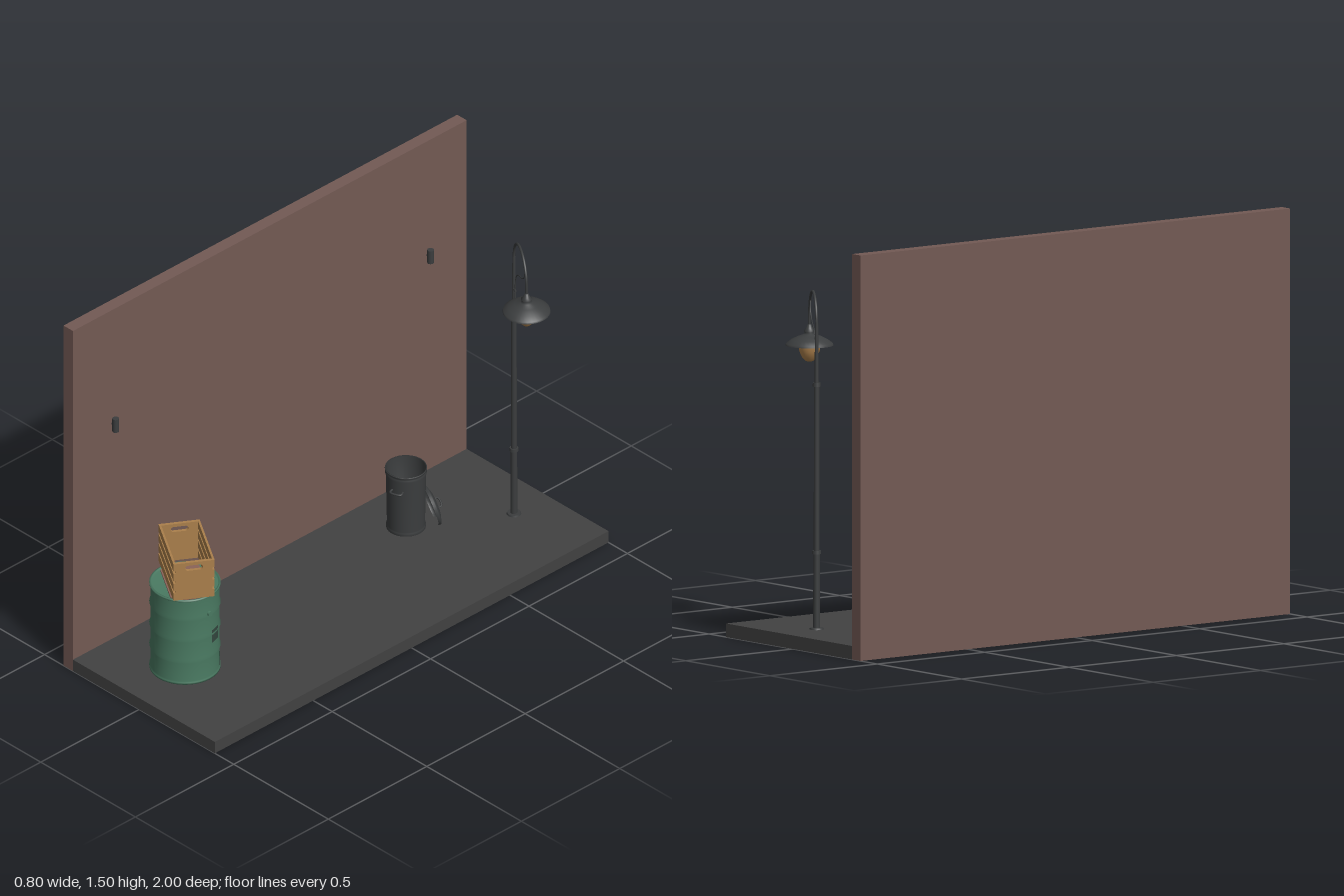
import * as THREE from 'three';

const mat = (name, color, side = THREE.FrontSide) => {
  const m = new THREE.MeshStandardMaterial({ color });
  m.name = name;
  m.side = side;
  return m;
};

export function createModel() {
  const M = {
    brick: mat('brickBrown', 0x735a54),
    asphalt: mat('asphaltGrey', 0x424242),
    metal: mat('darkMetal', 0x3b3d3e, THREE.DoubleSide),
    green: mat('barrelGreen', 0x4a7a62),
    rust: mat('rustPink', 0x8a6358),
    grime: mat('grimeGreen', 0x34473f, THREE.DoubleSide),
    wood: mat('crateWood', 0xab804c),
    glow: mat('lampGlass', 0xb0834e, THREE.DoubleSide),
  };
  const root = new THREE.Group();
  root.name = 'alleyCorner';

  const add = (parent, name, geo, material, x = 0, y = 0, z = 0) => {
    const mesh = new THREE.Mesh(geo, material);
    mesh.name = name;
    mesh.position.set(x, y, z);
    parent.add(mesh);
    return mesh;
  };
  const group = (name, x, y, z, ry = 0) => {
    const g = new THREE.Group();
    g.name = name;
    g.position.set(x, y, z);
    g.rotation.y = ry;
    root.add(g);
    return g;
  };
  const box = (w, h, d) => new THREE.BoxGeometry(w, h, d);
  const cyl = (r1, r2, h, n = 24) => new THREE.CylinderGeometry(r1, r2, h, n);
  const lathe = (pts, n = 32) => new THREE.LatheGeometry(pts.map(p => new THREE.Vector2(...p)), n);
  const tube = (pts, r, n = 32) =>
    new THREE.TubeGeometry(new THREE.CatmullRomCurve3(pts.map(p => new THREE.Vector3(...p))), n, r, 8);

  // Ground slab and wall
  add(root, 'ground', box(0.75, 0.05, 2), M.asphalt, 0.025, 0.025, 0);
  add(root, 'wall', box(0.05, 1.5, 2), M.brick, -0.375, 0.75, 0);

  // Small fixtures on the wall
  for (const z of [-0.8, 0.8]) {
    const f = group('wallFixture', -0.35, 1, z);
    add(f, 'fixtureBody', cyl(0.0125, 0.0125, 0.056, 16), M.metal, 0.0175, 0.002, 0);
    add(f, 'fixtureArm', box(0.012, 0.008, 0.008), M.metal, 0.004, 0, 0);
  }

  // Street lamp; its local x axis points from the pole to the shade
  const reach = 0.2;
  const lamp = group('streetLamp', 0.076, 0, -0.831, -Math.atan2(0.102, 0.173));
  add(lamp, 'poleFoot', cyl(0.025, 0.027, 0.006), M.metal, 0, 0.053, 0);
  add(lamp, 'lowerPole', cyl(0.012, 0.013, 0.285, 16), M.metal, 0, 0.1925, 0);
  add(lamp, 'upperPole', cyl(0.01, 0.011, 0.625, 16), M.metal, 0, 0.645, 0);
  add(lamp, 'lowerCollar', cyl(0.016, 0.017, 0.012), M.metal, 0, 0.335, 0);
  add(lamp, 'upperCollar', cyl(0.014, 0.015, 0.014), M.metal, 0, 0.955, 0);
  add(lamp, 'poleTip', cyl(0.006, 0.008, 0.23, 16), M.metal, 0, 1.07, 0);
  const arc = [];
  for (let i = 0; i <= 16; i++) {
    const a = Math.PI * (1 - i / 16);
    arc.push([reach / 2 + reach / 2 * Math.cos(a), 1.185 + 0.101 * Math.sin(a), 0]);
  }
  add(lamp, 'curvedArm', tube([[0, 1.15, 0], ...arc, [reach, 1.14, 0]], 0.005, 48), M.metal);
  add(lamp, 'cable', tube([[0.18, 1.245, 0], [0.165, 1.2, 0], [0.13, 1.172, 0], [0.075, 1.15, 0],
    [0.035, 1.115, 0], [0.02, 1.06, 0], [0.019, 1.01, 0]], 0.0022, 40), M.metal);
  add(lamp, 'cableClip', box(0.026, 0.008, 0.007), M.metal, 0.01, 1.045, 0);
  add(lamp, 'shade', lathe([[0.088, 1.073], [0.086, 1.08], [0.068, 1.094], [0.044, 1.106], [0.022, 1.114],
    [0.017, 1.121], [0.021, 1.127], [0.013, 1.136], [0.007, 1.15], [0, 1.152]]), M.metal, reach);
  add(lamp, 'bulb', lathe([[0, 1.012], [0.014, 1.015], [0.027, 1.028], [0.037, 1.05], [0.042, 1.075],
    [0.04, 1.085]]), M.glow, reach);

  // Ribbed barrel
  const barrel = group('barrel', -0.041, 0, 0.728);
  const profile = [[0, 0.05], [0.131, 0.05], [0.131, 0.058], [0.127, 0.062]];
  for (const y of [0.147, 0.24, 0.333]) {
    profile.push([0.127, y - 0.007], [0.131, y], [0.127, y + 0.007]);
  }
  profile.push([0.127, 0.41], [0.131, 0.413], [0.131, 0.42], [0.124, 0.42], [0.122, 0.412], [0, 0.412]);
  add(barrel, 'barrelBody', lathe(profile, 40), M.green);
  const patch = (angle, y, w, h) => add(barrel, 'grimePatch',
    new THREE.CylinderGeometry(0.1285, 0.1285, h, 8, 1, true, angle - w / 2, w), M.grime, 0, y, 0);
  patch(1.86, 0.23, 0.35, 0.055);
  patch(2.4, 0.08, 0.4, 0.04);
  add(barrel, 'bung', cyl(0.01, 0.01, 0.012, 12), M.green, 0.13, 0.34, 0).rotation.z = Math.PI / 2;

  // Rusty strip across the barrel top, aligned with the crate
  const crateTurn = -0.562;
  const strip = new THREE.Shape();
  const half = Math.asin(0.073 / 0.118);
  strip.absarc(0, 0, 0.118, -half, half, false);
  strip.absarc(0, 0, 0.118, Math.PI - half, Math.PI + half, false);
  const lid = add(barrel, 'rustyTop',
    new THREE.ExtrudeGeometry(strip, { depth: 0.006, bevelEnabled: false }), M.rust, 0, 0.414, 0);
  lid.rotation.set(-Math.PI / 2, 0, crateTurn);

  // Slatted crate without a floor, resting on the barrel
  const crate = group('crate', -0.045, 0.425, 0.716, crateTurn);
  const L = 0.272, W = 0.154, H = 0.16;
  for (const s of [-1, 1]) {
    for (let i = 0; i < 4; i++) {
      add(crate, 'sideSlat', box(L, 0.032, 0.008), M.wood, 0, 0.016 + i * 0.0427, s * (W / 2 - 0.004));
    }
  }
  const panel = new THREE.Shape();
  const pw = W / 2 - 0.008;
  panel.moveTo(-pw, 0).lineTo(pw, 0).lineTo(pw, H).lineTo(-pw, H).closePath();
  const grip = new THREE.Path();
  grip.absarc(0.022, 0.136, 0.011, -Math.PI / 2, Math.PI / 2, false);
  grip.absarc(-0.022, 0.136, 0.011, Math.PI / 2, Math.PI * 1.5, false);
  panel.holes.push(grip);
  const endGeo = new THREE.ExtrudeGeometry(panel, { depth: 0.012, bevelEnabled: false });
  endGeo.rotateY(Math.PI / 2);
  add(crate, 'endPanel', endGeo, M.wood, L / 2 - 0.012, 0, 0);
  add(crate, 'endPanel', endGeo, M.wood, -L / 2, 0, 0);

  // Square canister beside the barrel
  const can = group('canister', -0.213, 0.05, 0.557, -0.9);
  add(can, 'canisterBody', box(0.06, 0.12, 0.06), M.metal, 0, 0.06, 0);
  add(can, 'canisterTop', box(0.052, 0.005, 0.052), M.metal, 0, 0.1215, 0);
  add(can, 'canisterCap', cyl(0.009, 0.009, 0.008, 16), M.metal, 0.012, 0.126, 0.01);
  add(can, 'canisterPatch', box(0.045, 0.026, 0.002), M.rust, 0, 0.022, 0.0302);

  // Open dustbin with two handles
  const bin = group('dustbin', -0.14, 0.05, -0.49, 0.35);
  add(bin, 'binBody', lathe([[0, 0.003], [0.07, 0.003], [0.07, 0], [0.073, 0], [0.073, 0.012], [0.07, 0.015],
    [0.074, 0.235], [0.077, 0.24], [0.074, 0.245], [0.074, 0.252], [0.078, 0.255], [0.077, 0.26],
    [0.073, 0.258], [0.069, 0.02], [0, 0.012]], 32), M.metal);
  for (const s of [-1, 1]) {
    add(bin, 'binHandle', tube([[-0.022, 0.195, s * 0.07], [-0.021, 0.193, s * 0.088],
      [0.021, 0.193, s * 0.088], [0.022, 0.195, s * 0.07]], 0.004, 20), M.metal);
  }

  // Lid leaning against the dustbin
  const binLid = group('dustbinLid', -0.094, 0.122, -0.583);
  binLid.quaternion.setFromUnitVectors(new THREE.Vector3(0, 1, 0),
    new THREE.Vector3(0.43, 0.27, -0.86).normalize());
  add(binLid, 'lidDish', lathe([[0.077, -0.01], [0.078, 0], [0.07, 0.004], [0.045, 0.012], [0, 0.016]]), M.metal);
  add(binLid, 'lidHandle', tube([[-0.02, 0.012, 0], [-0.017, 0.027, 0], [0.017, 0.027, 0], [0.02, 0.012, 0]],
    0.0035, 16), M.metal);

  return root;
}
